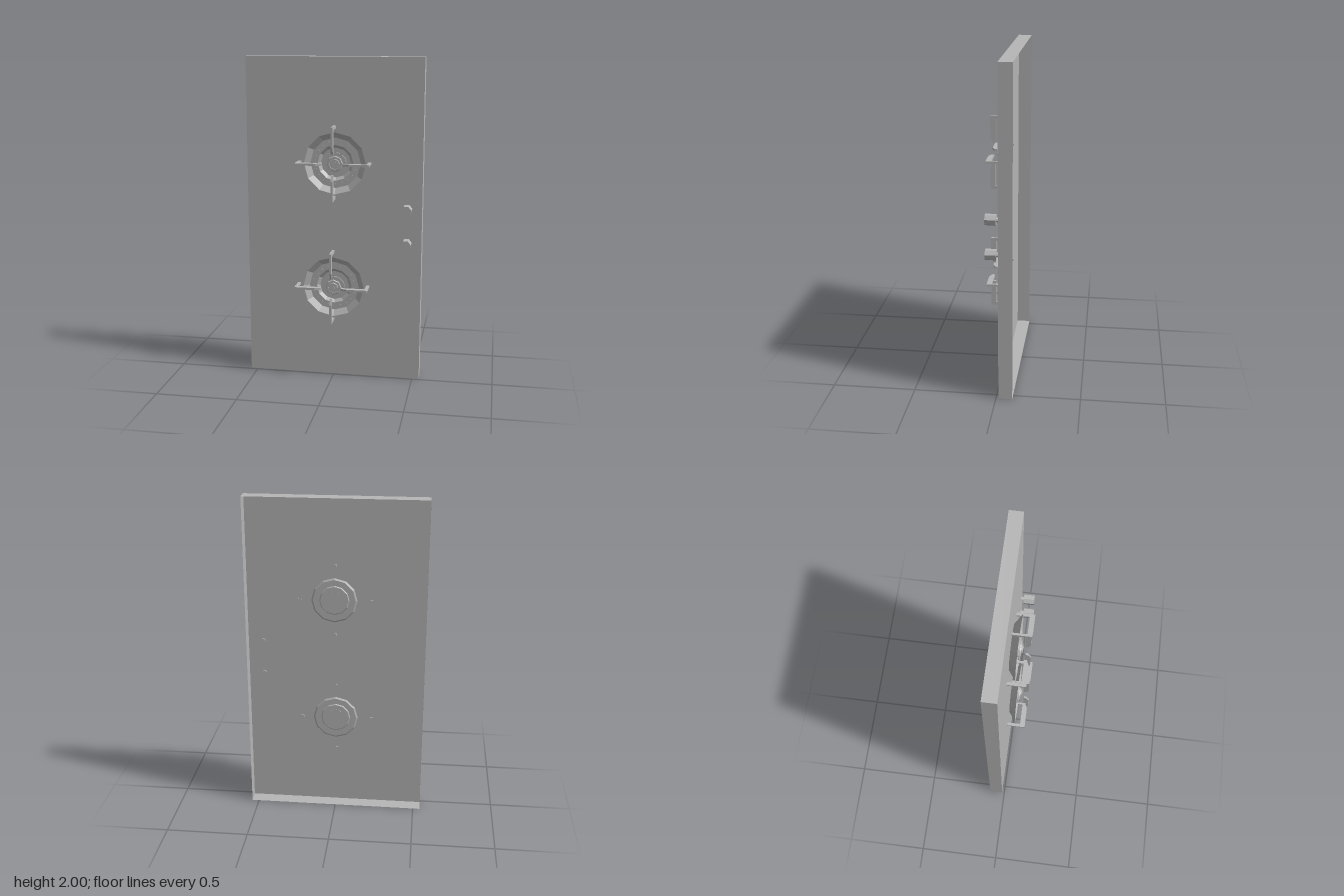
import * as THREE from 'three';

const metal = new THREE.MeshStandardMaterial({ color: 0xb6b6b6, flatShading: true, side: THREE.DoubleSide });
metal.name = 'grey metal';

function add(parent, name, geometry, x = 0, y = 0, z = 0) {
  const mesh = new THREE.Mesh(geometry, metal);
  mesh.name = name;
  mesh.position.set(x, y, z);
  parent.add(mesh);
  return mesh;
}

// Revolved profile of [radius, z] points, facing +z
const turned = (points, sides) =>
  new THREE.LatheGeometry(points.map(([r, z]) => new THREE.Vector2(r, z)), sides).rotateX(Math.PI / 2);

// Solid disc between two depths, facing +z
const disc = (radius, z0, z1, sides) =>
  new THREE.CylinderGeometry(radius, radius, z1 - z0, sides).rotateX(Math.PI / 2).translate(0, 0, (z0 + z1) / 2);

// Bent pan-support arm, drawn as radius against height, then stood along +z
function prongGeometry() {
  const outline = [[0.208, -0.022], [0.227, -0.022], [0.227, 0.097], [0.1, 0.097], [0.063, 0.082], [0.063, 0.066], [0.208, 0.066]];
  const shape = new THREE.Shape(outline.map(([r, z]) => new THREE.Vector2(r, z)));
  return new THREE.ExtrudeGeometry(shape, { depth: 0.013, bevelEnabled: false })
    .translate(0, 0, -0.0065).rotateX(Math.PI / 2);
}

function createBurner() {
  const burner = new THREE.Group();
  burner.name = 'burner';

  // Flared bowl with a stepped floor
  add(burner, 'bowl', turned([
    [0.12, -0.022], [0.13, -0.022], [0.2, 0.029], [0.19, 0.029], [0.155, 0.002],
    [0.11, 0.002], [0.086, -0.02], [0, -0.02],
  ], 12), 0.008, 0, 0);

  // Ring of small flame ports
  for (let i = 0; i < 20; i++) {
    const a = (i / 20) * Math.PI * 2;
    const port = add(burner, 'flamePort', new THREE.BoxGeometry(0.01, 0.005, 0.004),
      0.008 + Math.cos(a) * 0.13, Math.sin(a) * 0.13, 0.004);
    port.rotation.z = a;
  }

  // Burner head and stacked caps
  const head = new THREE.Group();
  head.name = 'burnerHead';
  head.position.x = 0.01;
  burner.add(head);
  add(head, 'headBase', disc(0.055, -0.021, 0.03, 12));
  add(head, 'headPlate', disc(0.072, 0.028, 0.036, 12));
  add(head, 'capRing', turned([[0.05, 0.036], [0.046, 0.043], [0.034, 0.043], [0.034, 0.036]], 8));
  add(head, 'cap', disc(0.03, 0.036, 0.051, 8));
  add(head, 'capButton', disc(0.012, 0.05, 0.054, 6));

  // Four pan-support arms
  const prong = prongGeometry();
  for (let i = 0; i < 4; i++) add(burner, 'panSupport', prong).rotation.z = (i * Math.PI) / 2;
  return burner;
}

export function createModel() {
  const model = new THREE.Group();
  model.name = 'cooktop';

  // Sheet-metal tray, open at the back
  const tray = new THREE.BoxGeometry(1.086, 2, 0.083);
  tray.setIndex(Array.from(tray.index.array).slice(0, 30));
  tray.clearGroups();
  add(model, 'tray', tray, 0, 1, -0.0565);

  for (const [x, y] of [[0.005, 1.364], [-0.003, 0.588]]) {
    const burner = createBurner();
    burner.position.set(x, y, 0);
    model.add(burner);
  }

  // Control knobs on short stems
  for (const y of [1.09, 0.878]) {
    const knob = new THREE.Group();
    knob.name = 'knob';
    knob.position.set(0.452, y, 0);
    model.add(knob);
    add(knob, 'knobStem', disc(0.014, -0.024, 0.006, 8));
    add(knob, 'knobGrip', disc(0.034, 0.005, 0.07, 7));
  }
  return model;
}
